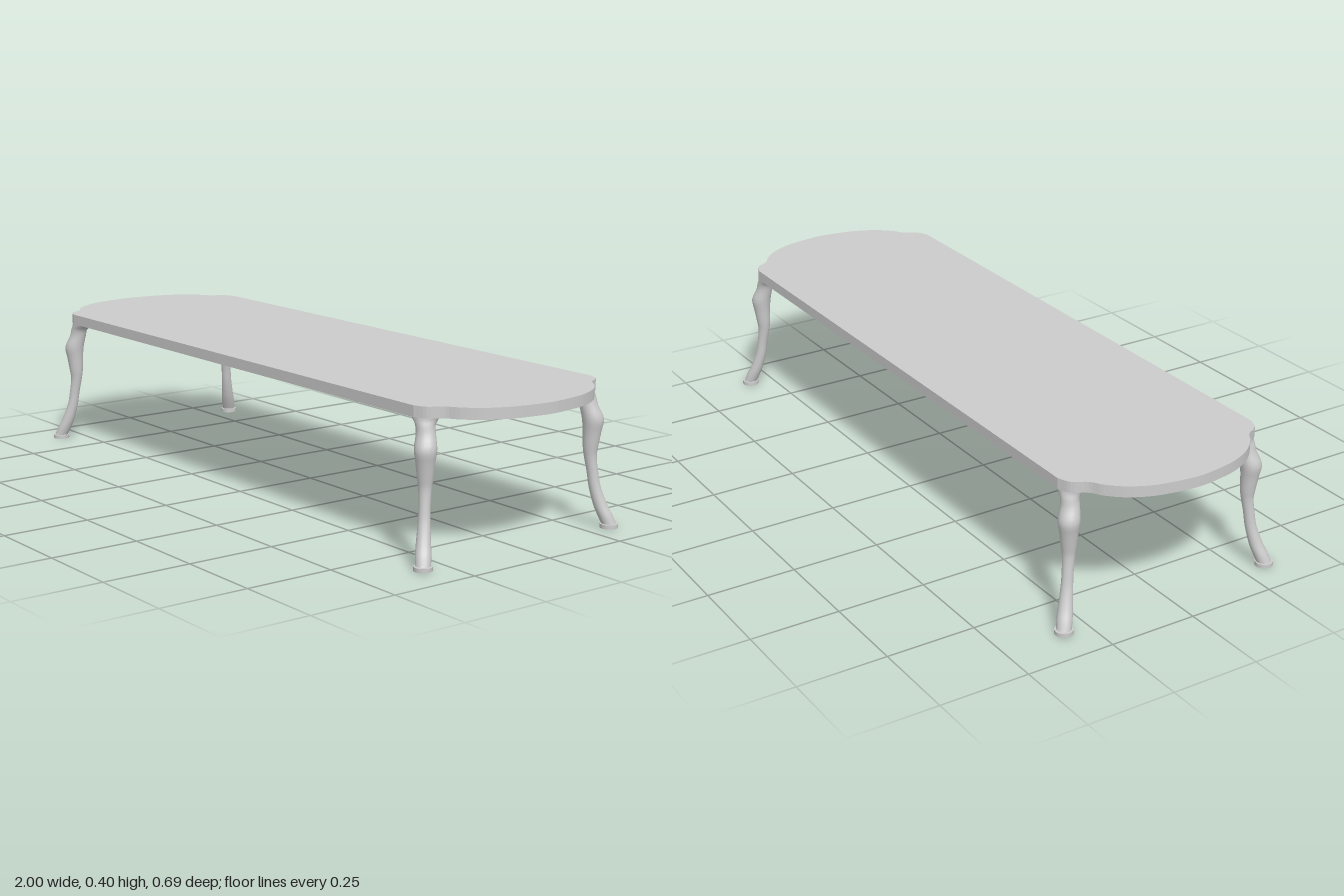
import * as THREE from 'three';

const mat = new THREE.MeshStandardMaterial({ color: 0xcccccc });

// Half of one rounded end, from the long edge to the tip: [x, z]
const END = [[0.825, 0.304], [0.857, 0.289], [0.882, 0.25], [0.912, 0.229], [0.95, 0.187], [0.98, 0.125], [0.994, 0.06], [1, 0]];

// Leg sections from floor to top: [height, x, z, radius]
const LEG = [
  [0.012, 0.889, 0.321, 0.02], [0.035, 0.881, 0.314, 0.0205], [0.06, 0.872, 0.306, 0.019],
  [0.11, 0.86, 0.2945, 0.016], [0.15, 0.855, 0.2895, 0.0152], [0.195, 0.85, 0.2845, 0.0172],
  [0.22, 0.85, 0.2845, 0.0205], [0.26, 0.852, 0.2865, 0.0245], [0.295, 0.853, 0.287, 0.029],
  [0.33, 0.844, 0.279, 0.025], [0.352, 0.838, 0.276, 0.0255], [0.364, 0.83, 0.269, 0.032], [0.374, 0.825, 0.262, 0.039],
];
const SIDES = 16;

function mesh(name, geometry) {
  const m = new THREE.Mesh(geometry, mat);
  m.name = name;
  return m;
}

// Flat top: long straight sides with gently waved, rounded ends
function tabletop() {
  const full = [...END, ...END.slice(0, -1).reverse().map(([x, z]) => [x, -z])];
  const curve = new THREE.CatmullRomCurve3(full.map(([x, z]) => new THREE.Vector3(x, z, 0)));
  const end = curve.getPoints(56).map((p) => new THREE.Vector2(p.x, p.y));
  const other = end.map((p) => new THREE.Vector2(-p.x, -p.y));
  const geo = new THREE.ExtrudeGeometry(new THREE.Shape([...end, ...other]), { depth: 0.03, bevelEnabled: false });
  geo.rotateX(-Math.PI / 2).translate(0, 0.372, 0);
  return mesh('tabletop', geo);
}

// Underside that sinks very slightly towards the four legs
function underside() {
  const geo = new THREE.PlaneGeometry(1.64, 0.58, 40, 24).rotateX(Math.PI / 2);
  const p = geo.attributes.position;
  const ramp = (v, peak, edge) => (v < peak ? v / peak : Math.max(0, (edge - v) / (edge - peak)));
  for (let i = 0; i < p.count; i++) {
    const dip = ramp(Math.abs(p.getX(i)), 0.78, 0.82) * ramp(Math.abs(p.getZ(i)), 0.23, 0.29);
    p.setY(i, 0.3718 - 0.0035 * dip);
  }
  geo.computeVertexNormals();
  return mesh('underside', geo);
}

// Curved leg lofted from round sections, set at the corner given by the signs
function leg(sx, sz) {
  const path = new THREE.CatmullRomCurve3(LEG.map(([y, x, z]) => new THREE.Vector3(x * sx, y, z * sz)));
  const radii = new THREE.CatmullRomCurve3(LEG.map(([y, , , r]) => new THREE.Vector3(r, y, 0)));
  const rows = (LEG.length - 1) * 3;
  const pos = [], index = [];
  for (let j = 0; j <= rows; j++) {
    const c = path.getPoint(j / rows);
    const r = radii.getPoint(j / rows).x;
    for (let i = 0; i < SIDES; i++) {
      const a = (i / SIDES) * Math.PI * 2;
      pos.push(c.x + r * Math.cos(a), c.y, c.z + r * Math.sin(a));
      if (j === rows) continue;
      const k = j * SIDES + i, n = j * SIDES + ((i + 1) % SIDES);
      index.push(k, k + SIDES, n, n, k + SIDES, n + SIDES);
    }
  }
  const geo = new THREE.BufferGeometry();
  geo.setAttribute('position', new THREE.Float32BufferAttribute(pos, 3));
  geo.setIndex(index);
  geo.computeVertexNormals();
  const group = new THREE.Group();
  group.name = `${sz > 0 ? 'front' : 'back'}${sx > 0 ? 'Left' : 'Right'}Leg`;

  // Thin round pad under the leg
  const foot = mesh('foot', new THREE.CylinderGeometry(0.0245, 0.0245, 0.011, SIDES));
  foot.position.set(0.89 * sx, 0.0055, 0.322 * sz);
  group.add(mesh('legShaft', geo), foot);
  return group;
}

export function createModel() {
  const table = new THREE.Group();
  table.name = 'table';
  table.add(tabletop(), underside());
  for (const sx of [-1, 1]) for (const sz of [-1, 1]) table.add(leg(sx, sz));
  return table;
}
